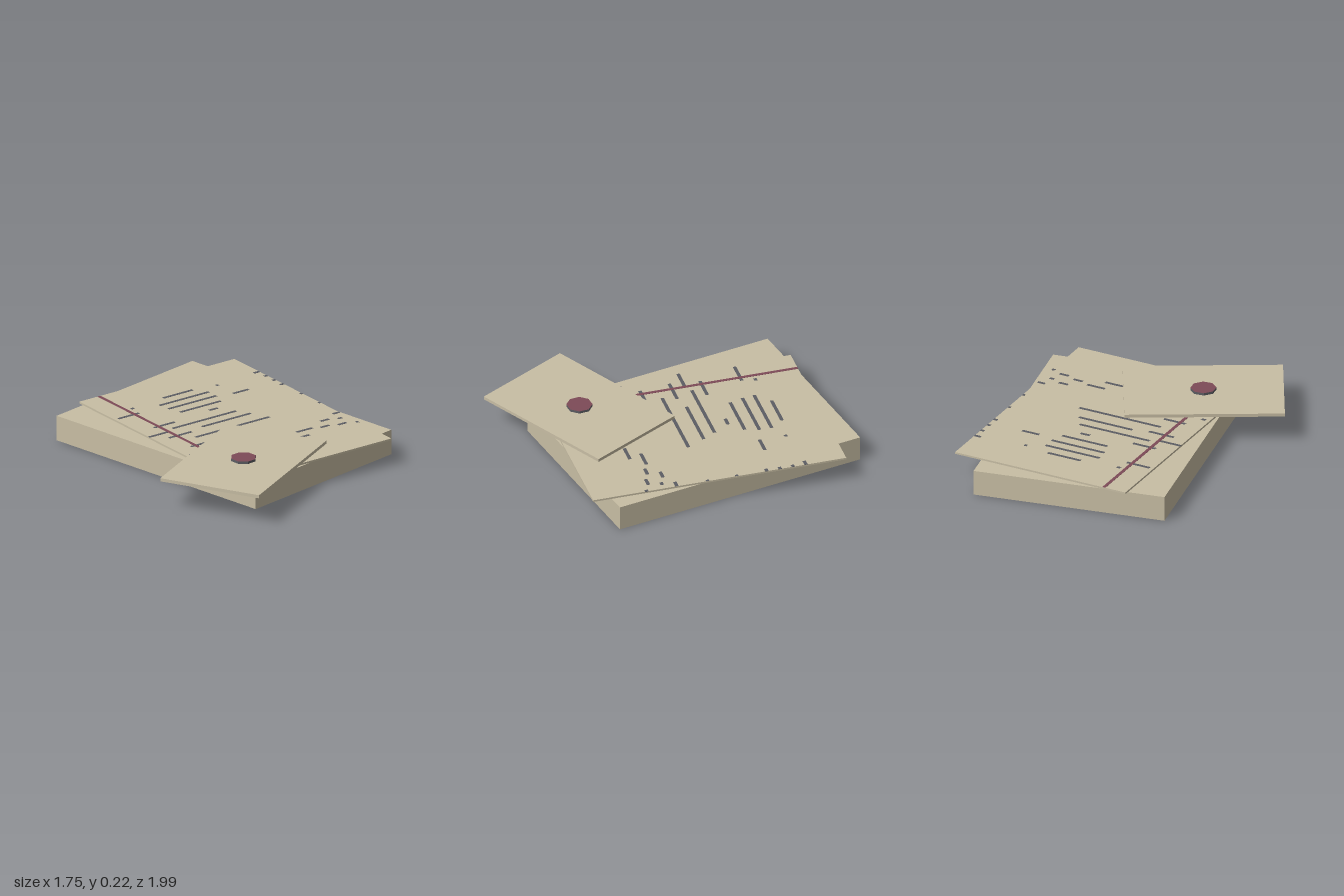
import * as THREE from 'three';

export function createModel() {
  const model = new THREE.Group();
  const paper = new THREE.MeshStandardMaterial({ color: 0xc8bea4 });
  paper.name = 'paper';
  const ink = new THREE.MeshStandardMaterial({ color: 0x5c5d63 });
  ink.name = 'ink grey';
  const wax = new THREE.MeshStandardMaterial({ color: 0x7d4a57 });
  wax.name = 'wax red';

  // A flat slab from y0 to y1, turned about the vertical axis
  function slab(name, material, [w, d], [y0, y1], [x, z], turn) {
    const mesh = new THREE.Mesh(new THREE.BoxGeometry(w, y1 - y0, d), material);
    mesh.name = name;
    mesh.position.set(x, (y0 + y1) / 2, z);
    mesh.rotation.y = turn;
    model.add(mesh);
    return mesh;
  }

  // Paper stack, loose sheet and small envelope, each at its own angle
  const sheetTurn = -0.121, sheetTop = 0.178;
  slab('paperStack', paper, [1.248, 1.694], [0, 0.165], [0.117, -0.112], 0.068);
  slab('looseSheet', paper, [1.204, 1.652], [0.166, sheetTop], [0.177, -0.073], sheetTurn);
  slab('envelope', paper, [1.003, 0.68], [0.186, 0.207], [-0.287, 0.492], 0.383);

  // Margin line down the sheet
  const along = -0.45;
  slab('marginLine', wax, [0.022, 1.65], [sheetTop - 0.001, sheetTop + 0.0012],
    [0.177 + along * Math.cos(sheetTurn), -0.073 - along * Math.sin(sheetTurn)], sheetTurn);

  // Writing strokes: start x, start z, end x
  const strokes = [
    [-0.34, -0.59, -0.18], [-0.17, -0.655, -0.145], [0.1, -0.65, 0.33], [0, -0.575, 0.38],
    [0, -0.495, 0.37], [0.015, -0.405, 0.33], [0.485, -0.575, 0.505], [0.47, -0.405, 0.59],
    [0.17, -0.303, 0.235], [0.8, -0.565, 0.843], [0.81, -0.48, 0.833], [0.8, -0.395, 0.823],
    [0.785, -0.31, 0.813], [-0.28, -0.328, -0.12], [-0.41, -0.235, -0.25], [-0.205, -0.24, 0.285],
    [-0.33, -0.14, -0.155], [-0.05, -0.135, 0.325], [-0.2, -0.035, 0.37], [-0.33, 0.06, -0.18],
    [-0.43, 0.155, -0.4], [0.772, -0.115, 0.787], [0.75, 0.075, 0.765], [0.69, 0.27, 0.74],
    [0.55, 0.308, 0.615], [0.315, 0.337, 0.44], [0.66, 0.35, 0.69], [0.48, 0.383, 0.545],
    [0.22, 0.408, 0.345], [0.59, 0.425, 0.655], [0.7, 0.47, 0.72],
  ];
  const slope = Math.tan(-sheetTurn);
  for (const [x0, z0, x1] of strokes) {
    const run = x1 - x0;
    slab('writingStroke', ink, [run / Math.cos(sheetTurn), 0.022],
      [sheetTop - 0.001, sheetTop + 0.0006], [x0 + run / 2, z0 + run * slope / 2], sheetTurn);
  }

  // Eight-sided wax seal with a dark rim
  const seal = new THREE.Mesh(
    new THREE.CylinderGeometry(0.082, 0.082, 0.016, 8).toNonIndexed(), [ink, wax, ink]);
  seal.geometry.computeVertexNormals();
  seal.name = 'waxSeal';
  seal.position.set(-0.285, 0.215, 0.492);
  seal.rotation.y = Math.PI / 8;
  model.add(seal);

  return model;
}
